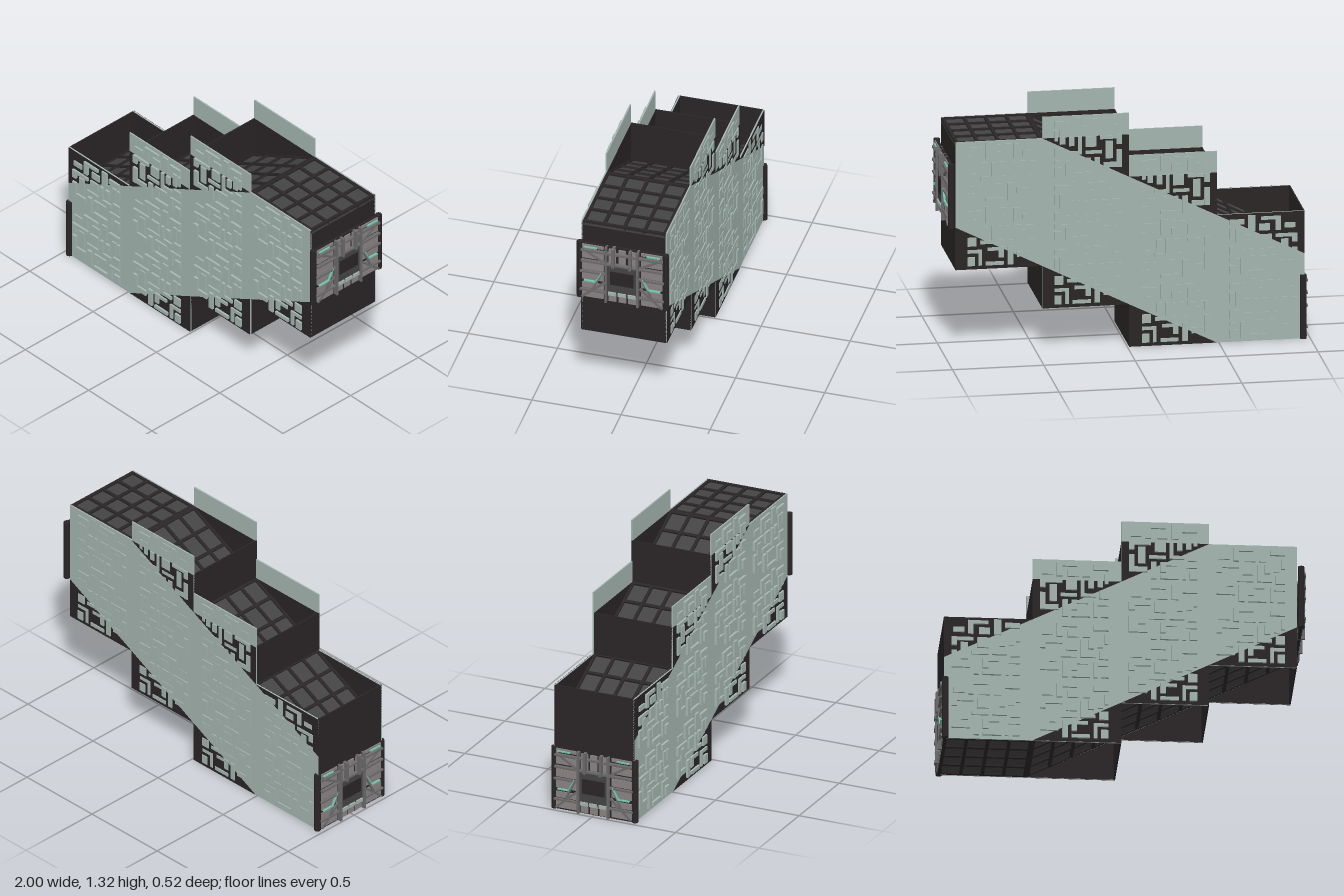
import * as THREE from 'three';

const mat = (color, side = THREE.FrontSide) => new THREE.MeshStandardMaterial({ color, side, flatShading: true });
const LIGHT = mat(0xa4b5b0), DARK = mat(0x2a2526), DARK2 = mat(0x2a2526, THREE.DoubleSide);
const TILE = mat(0x444444), PINK = mat(0x8a8284), STEEL = mat(0x6c6a6b), TEAL = mat(0x6fc4ac);

const HALF = 0.24;                              // half width of the corridor
const XS = [-0.97, -0.49, -0.01, 0.465, 0.94];  // bay boundaries
const BAYS = [[0, 0.72], [0, 1.08], [0.24, 1.32], [0.48, 1.2]]; // bottom and top of each wall panel

function box(parent, name, material, w, h, d, x, y, z) {
  const m = new THREE.Mesh(new THREE.BoxGeometry(w, h, d), material);
  m.position.set(x, y, z);
  m.name = name;
  parent.add(m);
  return m;
}

// Maze blocks in one 0.48 x 0.36 wall tile: x0, y0, x1, y1
const MAZE = [
  [0.04, 0.06, 0.07, 0.16], [0.07, 0.06, 0.14, 0.09], [0.09, 0.11, 0.13, 0.21],
  [0.04, 0.19, 0.07, 0.24], [0.07, 0.22, 0.16, 0.24], [0.05, 0.27, 0.11, 0.30],
  [0.13, 0.26, 0.16, 0.34], [0.16, 0.32, 0.24, 0.34], [0.15, 0.14, 0.24, 0.16],
  [0.16, 0.02, 0.19, 0.12], [0.18, 0.18, 0.24, 0.24], [0.19, 0.26, 0.25, 0.30],
  [0.21, 0.02, 0.31, 0.04], [0.21, 0.06, 0.24, 0.12], [0.24, 0.10, 0.30, 0.12],
  [0.26, 0.14, 0.28, 0.24], [0.28, 0.14, 0.34, 0.16], [0.27, 0.26, 0.31, 0.35],
  [0.30, 0.19, 0.33, 0.24], [0.33, 0.02, 0.35, 0.11], [0.35, 0.09, 0.41, 0.11],
  [0.37, 0.02, 0.41, 0.07], [0.36, 0.13, 0.41, 0.18], [0.35, 0.20, 0.38, 0.28],
  [0.33, 0.30, 0.41, 0.33], [0.39, 0.22, 0.41, 0.28],
];

// Side wall of four stepped panels with raised maze blocks
function sideWall(s) {
  const g = new THREE.Group();
  g.name = s > 0 ? 'frontWall' : 'backWall';
  const relief = s > 0 ? 0.014 : 0.007;
  BAYS.forEach(([y0, y1], i) => {
    const x = XS[i], w = XS[i + 1] - x;
    box(g, 'wallPanel', LIGHT, w, y1 - y0, 0.008, x + w / 2, (y0 + y1) / 2, s * 0.236);
    for (let y = y0; y < y1 - 0.01; y += 0.36) {
      MAZE.forEach(([a, b, c, d], k) => box(g, 'mazeBlock', LIGHT, c - a, d - b, relief - (k % 3) * 0.002,
        x + (a + c) / 2, y + (b + d) / 2, s * (HALF + relief / 2 - (k % 3) * 0.001)));
    }
  });
  // Dark wedges above the sloping roof and below the sloping floor
  const wedge = (a, b, c) => {
    const geo = new THREE.ShapeGeometry(new THREE.Shape([a, b, c].map(p => new THREE.Vector2(...p))));
    for (const z of [0.2415, 0.2305]) {
      const m = new THREE.Mesh(geo, DARK2);
      m.position.z = s * z;
      m.name = 'darkWedge';
      g.add(m);
    }
  };
  for (let i = 0; i < 3; i++) {
    const y = 0.48 + 0.24 * i, f = 0.24 * i;
    wedge([XS[i], y], [XS[i + 1], y + 0.24], [XS[i], y + 0.24]);
    wedge([XS[i + 1], f], [XS[i + 2], f], [XS[i + 2], f + 0.24]);
  }
  return g;
}

// Gridded slab from (x0,y0) to (x1,y1); side +1 has its grid on top, -1 underneath
function gridSlab(name, x0, y0, x1, y1, side) {
  const g = new THREE.Group();
  g.name = name;
  const len = Math.hypot(x1 - x0, y1 - y0), n = Math.round((x1 - x0) / 0.12);
  g.position.set((x0 + x1) / 2, (y0 + y1) / 2, 0);
  g.rotation.z = Math.atan2(y1 - y0, x1 - x0);
  box(g, 'tiles', TILE, len, 0.015, HALF * 2 - 0.02, 0, -side * 0.0175, 0);
  for (let i = 0; i <= n; i++)
    box(g, 'crossBeam', DARK, 0.018, 0.02, HALF * 2 - 0.02, (i / n - 0.5) * (len - 0.018), -side * 0.01, 0);
  for (let i = -2; i <= 2; i++)
    box(g, 'longBeam', DARK, len, 0.02, 0.018, 0, -side * 0.0102, i * 0.113);
  return g;
}

// Doorway plate at one end, facing outward along its local +x
function endPlate() {
  const g = new THREE.Group();
  g.name = 'endPlate';
  const block = (name, m, u0, v0, u1, v1, out) =>
    box(g, name, m, 0.012 + out, v1 - v0, u1 - u0, out / 2, (v0 + v1) / 2, (u0 + u1) / 2);
  const strut = (name, m, u0, v0, u1, v1, t, out) => {
    const b = box(g, name, m, 0.012, Math.hypot(u1 - u0, v1 - v0), t, out, (v0 + v1) / 2, (u0 + u1) / 2);
    b.rotation.x = Math.atan2(u1 - u0, v1 - v0);
  };
  block('backing', DARK, -0.235, 0, 0.235, 0.36, 0.002);
  block('doorSurround', TILE, -0.083, 0.06, 0.083, 0.25, 0.012);
  block('doorScreen', DARK, -0.066, 0.12, 0.066, 0.205, 0.017);
  for (const u of [-0.055, 0, 0.055]) {
    block('step', LIGHT, u - 0.022, 0.05, u + 0.022, 0.07, 0.02);
    block('lowerPanel', PINK, u - 0.022, 0.005, u + 0.022, 0.045, 0.008);
    block('upperColumn', PINK, u - 0.02, 0.26, u + 0.02, 0.35, 0.01);
  }
  block('lintel', STEEL, -0.23, 0.245, 0.23, 0.256, 0.022);
  block('topBeam', STEEL, -0.23, 0.315, 0.23, 0.326, 0.022);
  for (const s of [-1, 1]) {
    const side = (f, name, m, u0, v0, u1, v1, ...r) =>
      f === block ? block(name, m, Math.min(s * u0, s * u1), v0, Math.max(s * u0, s * u1), v1, ...r)
        : strut(name, m, s * u0, v0, s * u1, v1, ...r);
    side(block, 'doorPost', STEEL, 0.083, 0, 0.095, 0.36, 0.025);
    for (const [a, b] of [[0.01, 0.05], [0.07, 0.105], [0.125, 0.175], [0.19, 0.235], [0.265, 0.305], [0.335, 0.355]])
      side(block, 'sidePanel', PINK, 0.105, a, 0.225, b, 0.008);
    side(block, 'sideRail', STEEL, 0.09, 0.175, 0.235, 0.185, 0.02);
    side(block, 'sideRail', STEEL, 0.09, 0.055, 0.235, 0.065, 0.02);
    side(strut, 'brace', STEEL, 0.1, 0.12, 0.225, 0.01, 0.012, 0.016);
    side(strut, 'brace', STEEL, 0.11, 0.185, 0.17, 0.06, 0.01, 0.016);
    side(strut, 'brace', STEEL, 0.1, 0.255, 0.225, 0.33, 0.012, 0.016);
    side(strut, 'lightStrip', TEAL, 0.115, 0.185, 0.15, 0.12, 0.006, 0.021);
    side(block, 'lightStrip', TEAL, 0.14, 0.338, 0.215, 0.345, 0.018);
    side(block, 'lightStrip', TEAL, 0.15, 0.117, 0.215, 0.122, 0.018);
    side(block, 'bracket', STEEL, 0.04, 0.24, 0.055, 0.36, 0.031);
    // Corner post
    const post = new THREE.Mesh(new THREE.CylinderGeometry(0.018, 0.018, 0.36, 8), DARK);
    post.position.set(0, 0.18, s * 0.241);
    post.name = 'cornerPost';
    g.add(post);
  }
  return g;
}

export function createModel() {
  const model = new THREE.Group();
  model.name = 'steppedCorridor';
  model.add(sideWall(1), sideWall(-1));

  // Roof rises then levels out; floor is level then rises
  model.add(gridSlab('slopedRoof', XS[0], 0.48, XS[3], 1.2, 1));
  model.add(gridSlab('levelRoof', XS[3], 1.2, XS[4], 1.2, 1));
  model.add(gridSlab('levelFloor', XS[0], 0, XS[1], 0, -1));
  model.add(gridSlab('slopedFloor', XS[1], 0, XS[4], 0.72, -1));

  // End walls and risers: x, bottom, top, inward direction
  const risers = [[XS[0], 0, 0.72, 1], [XS[1], 0.7, 0.96, 1], [XS[2], 0.94, 1.2, 1],
    [XS[2], 0, 0.26, -1], [XS[3], 0.24, 0.5, -1], [XS[4], 0.48, 1.2, -1]];
  for (const [x, a, b, d] of risers)
    box(model, 'riser', DARK, 0.008, b - a, HALF * 2 - 0.002, x + d * 0.004, (a + b) / 2, 0);

  // Doorway plates at both ends
  const high = endPlate(), low = endPlate();
  high.position.set(0.963, 0.72, 0);
  low.position.set(-0.963, 0, 0);
  low.rotation.y = Math.PI;
  model.add(high, low);
  return model;
}
